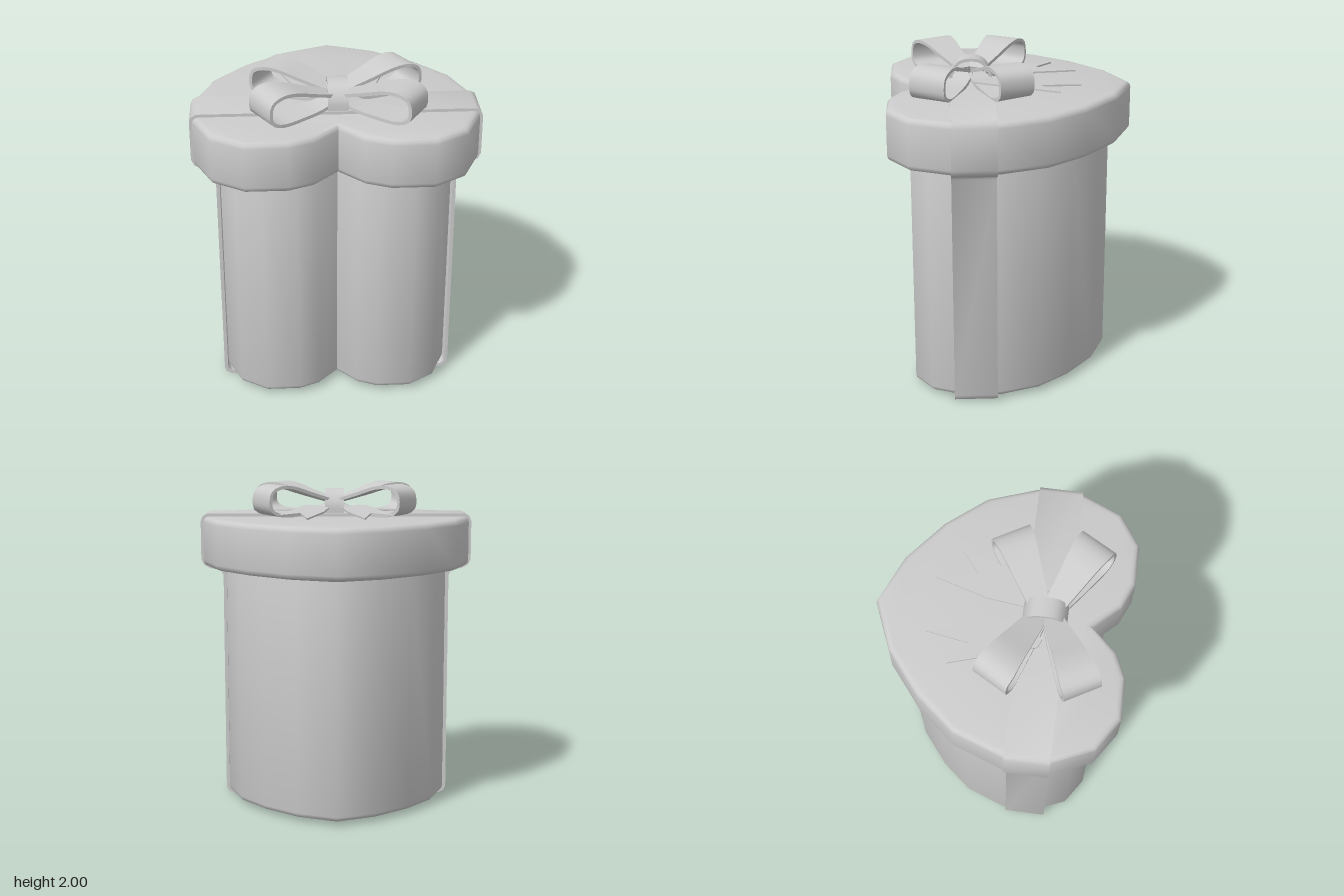
import * as THREE from 'three';
import { toCreasedNormals } from 'three/addons/utils/BufferGeometryUtils.js';

const material = new THREE.MeshStandardMaterial({ color: 0xcccccc });

// Right half of the heart outline as [x, z], from back tip to front notch
const HALF = [[0, -0.74], [0.29, -0.62], [0.54, -0.42], [0.73, -0.19], [0.835, 0.1], [0.835, 0.37],
  [0.73, 0.61], [0.54, 0.735], [0.29, 0.735], [0.14, 0.67], [0, 0.52]];

const mirrorLoop = (half) => half.concat(half.slice(1, -1).reverse().map(([x, y]) => [-x, y]));
const toVectors = (points) => points.map(([x, y]) => new THREE.Vector2(x, y));

function mesh(name, geometry, crease = 0.9) {
  const m = new THREE.Mesh(toCreasedNormals(geometry, crease), material);
  m.name = name;
  return m;
}

// Heart-shaped block with rounded upper and lower rims
function heartBlock(name, scale, bottom, top, bevel) {
  const outline = mirrorLoop(HALF).map(([x, z]) => [x * scale, -z * scale]);
  const geometry = new THREE.ExtrudeGeometry(new THREE.Shape(toVectors(outline)), {
    depth: top - bottom - 2 * bevel, bevelThickness: bevel, bevelSize: bevel, bevelOffset: -bevel, bevelSegments: 3,
  });
  geometry.rotateX(-Math.PI / 2).translate(0, bottom + bevel, 0);
  return mesh(name, geometry);
}

// Bends a thin box along a curve in the xy plane; edges(x) gives [centre, half width] in z
function bentStrip(points, segments, thickness, edges) {
  const curve = new THREE.CatmullRomCurve3(points.map(([x, y]) => new THREE.Vector3(x, y, 0)));
  const geometry = new THREE.BoxGeometry(1, 1, 1, segments, 1, 1);
  const pos = geometry.attributes.position;
  for (let i = 0; i < pos.count; i++) {
    const t = THREE.MathUtils.clamp(pos.getX(i) + 0.5, 0, 1);
    const p = curve.getPointAt(t), d = curve.getTangentAt(t);
    const offset = pos.getY(i) * thickness;
    const [centre, half] = edges(p.x);
    pos.setXYZ(i, p.x - d.y * offset, p.y + d.x * offset, centre + pos.getZ(i) * 2 * half);
  }
  return geometry;
}

// Ribbon band that follows the silhouette of box and lid
function ribbonBand() {
  const outer = [[0, 0], [0.67, 0], [0.7, 0.015], [0.713, 0.045], [0.713, 1.43], [0.73, 1.46], [0.8, 1.475],
    [0.835, 1.495], [0.852, 1.53], [0.852, 1.77], [0.84, 1.8], [0.81, 1.818], [0, 1.818]];
  const inner = [[0, 0.022], [0.665, 0.022], [0.685, 0.035], [0.692, 0.055], [0.692, 1.44], [0.72, 1.48], [0.79, 1.492],
    [0.82, 1.51], [0.832, 1.54], [0.832, 1.765], [0.822, 1.787], [0.8, 1.798], [0, 1.798]];
  const shape = new THREE.Shape(toVectors(mirrorLoop(outer)));
  shape.holes.push(new THREE.Path(toVectors(mirrorLoop(inner))));
  const geometry = new THREE.ExtrudeGeometry(shape, { depth: 0.26, bevelEnabled: false });
  return mesh('ribbonBand', geometry.translate(0, 0, 0.11));
}

// Bow: four loops, a knot and two forked tails
function bow() {
  const group = new THREE.Group();
  group.name = 'bow';
  const loopPath = [[0.03, 1.87], [0.14, 1.835], [0.28, 1.82], [0.44, 1.82], [0.505, 1.85], [0.515, 1.905],
    [0.5, 1.96], [0.44, 1.989], [0.35, 1.985], [0.2, 1.94], [0.03, 1.89]];
  for (const degrees of [30, 150, 210, 330]) {
    const a = THREE.MathUtils.degToRad(degrees);
    const side = -Math.sign(Math.sin(a) * Math.cos(a));
    const geometry = bentStrip(loopPath, 40, 0.02, (x) => {
      const k = Math.min(1, x / 0.45);
      return [side * 0.02 * (1 - k), 0.05 + 0.065 * k];
    });
    const loop = mesh('bowLoop', geometry.rotateY(a));
    loop.position.set(0.01, 0, 0.24);
    group.add(loop);
  }

  const knotPath = [[-0.12, 1.82], [-0.115, 1.88], [-0.07, 1.945], [0, 1.962], [0.07, 1.945], [0.115, 1.88], [0.12, 1.82]];
  const knot = mesh('bowKnot', bentStrip(knotPath, 20, 0.018, () => [0, 0.06]).rotateY(Math.PI / 2));
  knot.position.set(0.01, 0, 0.24);
  group.add(knot);

  const tail = [[0.04, 0.12], [0.15, 0.24], [0.2, 0.22], [0.275, -0.03], [0.35, -0.28], [0.215, -0.17], [0.17, -0.42], [0.07, -0.1]];
  for (const side of [1, -1]) {
    const shape = new THREE.Shape(toVectors(tail.map(([x, z]) => [side * x + 0.003, -z])));
    const geometry = new THREE.ExtrudeGeometry(shape, { depth: 0.01, bevelEnabled: false });
    geometry.rotateX(-Math.PI / 2).rotateX(-0.05).translate(0, 1.842, 0);
    group.add(mesh('bowTail', geometry, 0.5));
  }
  return group;
}

export function createModel() {
  const model = new THREE.Group();
  model.name = 'heartGiftBox';
  model.add(
    heartBlock('boxBody', 0.825, 0.025, 1.52, 0.03),
    heartBlock('boxLid', 1, 1.49, 1.8, 0.035),
    ribbonBand(),
    bow(),
  );
  return model;
}
